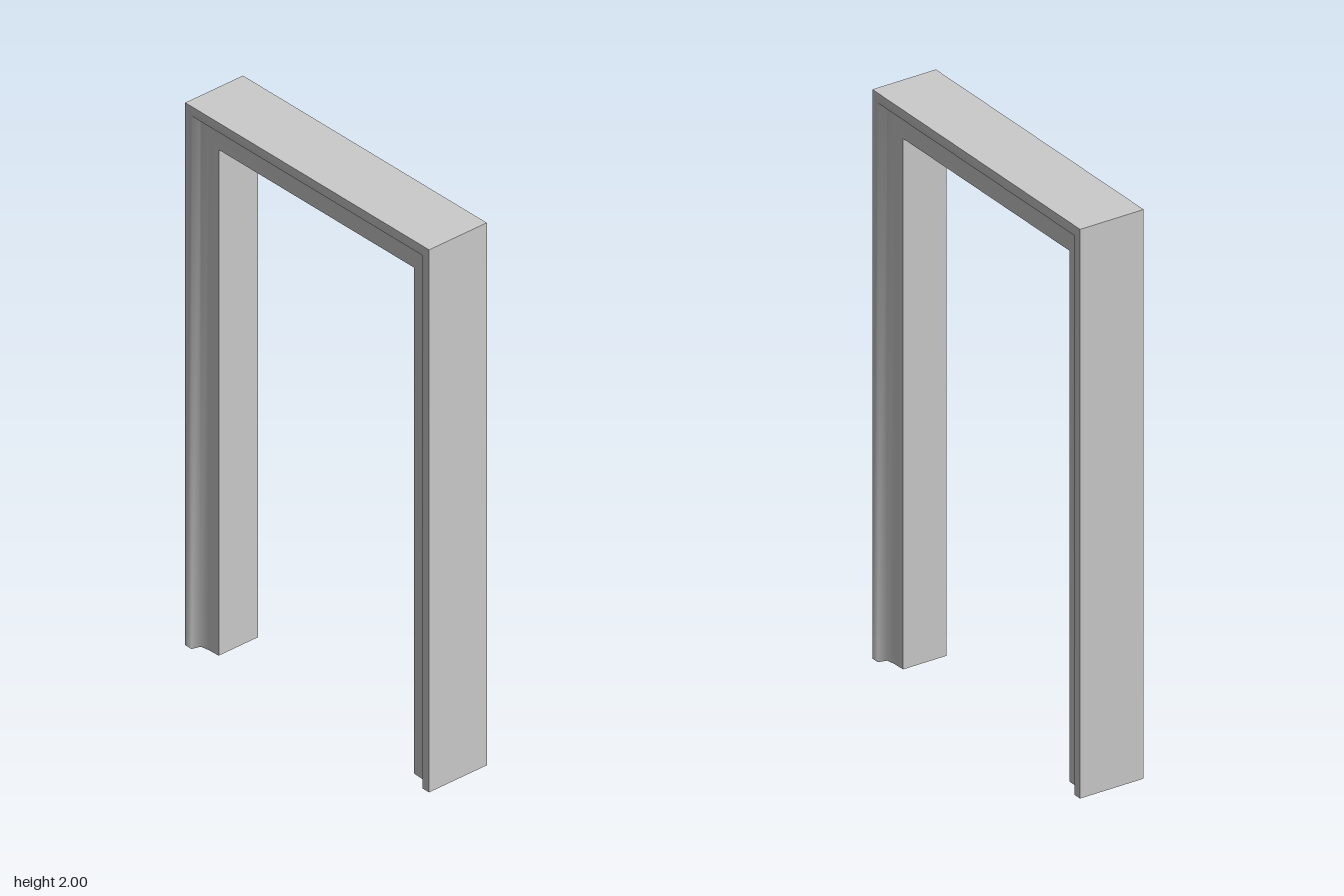
import * as THREE from 'three';
import { toCreasedNormals } from 'three/addons/utils/BufferGeometryUtils.js';

// Corners of the frame path: [outer x, outer y, inner x, inner y]
const STATIONS = [
  [-0.575, 0, -0.46, 0],
  [-0.575, 2, -0.46, 1.865],
  [0.575, 2, 0.46, 1.865],
  [0.575, 0, 0.46, 0],
];

// Half profile from outer edge to inner edge: [share of width, z]
const PROFILE = [
  [0, 0.12],
  [0.26, 0.12],
  [0.33, 0.09],
  [0.6, 0.084],
  [1, 0.082],
];

export function createModel() {
  const group = new THREE.Group();
  group.name = 'doorFrame';

  // Closed section: front side, then mirrored back side
  const section = [...PROFILE, ...PROFILE.map(([u, z]) => [u, -z]).reverse()];
  const n = section.length;
  const rings = STATIONS.map(([ox, oy, ix, iy]) =>
    section.map(([u, z]) => [ox + (ix - ox) * u, oy + (iy - oy) * u, z]));

  const positions = [];
  const quad = (a, b, c, d) => positions.push(...a, ...b, ...c, ...a, ...c, ...d);

  // Mitred sweep: left jamb, head, right jamb
  for (let s = 0; s < rings.length - 1; s++) {
    for (let k = 0; k < n; k++) {
      const j = (k + 1) % n;
      quad(rings[s][k], rings[s][j], rings[s + 1][j], rings[s + 1][k]);
    }
  }

  // Feet of the two jambs
  const first = rings[0], last = rings[rings.length - 1];
  for (let k = 0; k < PROFILE.length - 1; k++) {
    quad(first[n - 1 - k], first[n - 2 - k], first[k + 1], first[k]);
    quad(last[k], last[k + 1], last[n - 2 - k], last[n - 1 - k]);
  }

  const geometry = new THREE.BufferGeometry();
  geometry.setAttribute('position', new THREE.Float32BufferAttribute(positions, 3));

  const frame = new THREE.Mesh(
    toCreasedNormals(geometry, THREE.MathUtils.degToRad(80)),
    new THREE.MeshStandardMaterial({ color: 0xcccccc }),
  );
  frame.name = 'frame';
  group.add(frame);
  return group;
}
